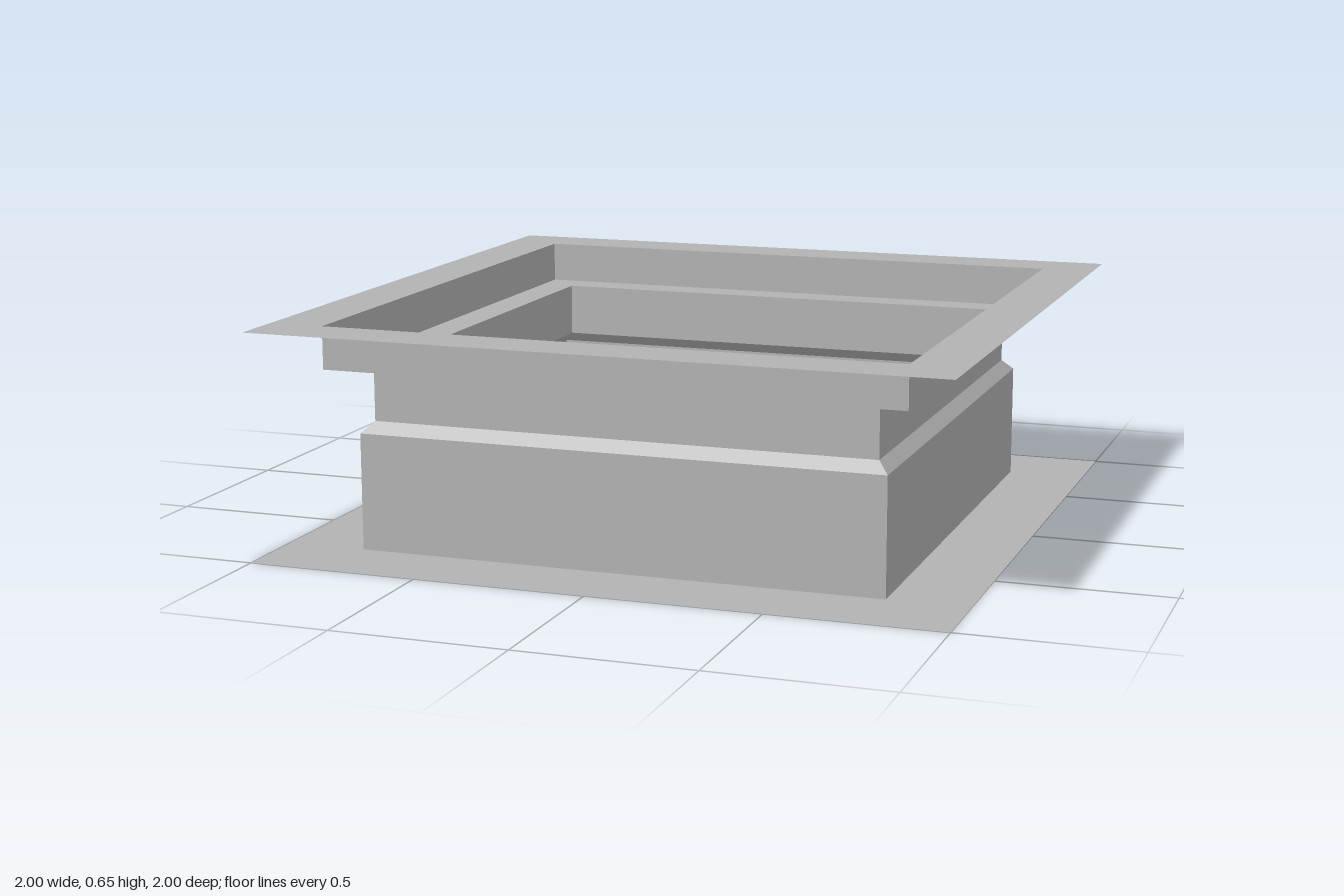
import * as THREE from 'three';

// Square sheet band running from half-width w0 at y0 to half-width w1 at y1
function squareBand(w0, y0, w1, y1) {
  const s = Math.SQRT2;
  const geo = new THREE.CylinderGeometry(w1 * s, w0 * s, y1 - y0, 4, 1, true)
    .rotateY(Math.PI / 4)
    .translate(0, (y0 + y1) / 2, 0)
    .toNonIndexed();
  geo.computeVertexNormals();
  return geo;
}

export function createModel() {
  const group = new THREE.Group();
  group.name = 'squareDuctCurb';

  const sheetMetal = new THREE.MeshStandardMaterial({ color: 0xb2b2b2, side: THREE.DoubleSide, flatShading: true });
  sheetMetal.name = 'grey sheet metal';

  // Folded sheet profile from the bottom flange to the top flange
  const bands = [
    ['bottomFlange', 1, 0, 0.768, 0],
    ['baseWall', 0.768, 0, 0.768, 0.338],
    ['slopedShoulder', 0.768, 0.338, 0.736, 0.37],
    ['neckWall', 0.736, 0.37, 0.736, 0.53],
    ['innerLedge', 0.736, 0.53, 0.84, 0.53],
    ['collarWall', 0.84, 0.53, 0.84, 0.653],
    ['topFlange', 0.84, 0.653, 1, 0.653],
  ];
  for (const [name, ...dims] of bands) {
    const mesh = new THREE.Mesh(squareBand(...dims), sheetMetal);
    mesh.name = name;
    group.add(mesh);
  }
  return group;
}
